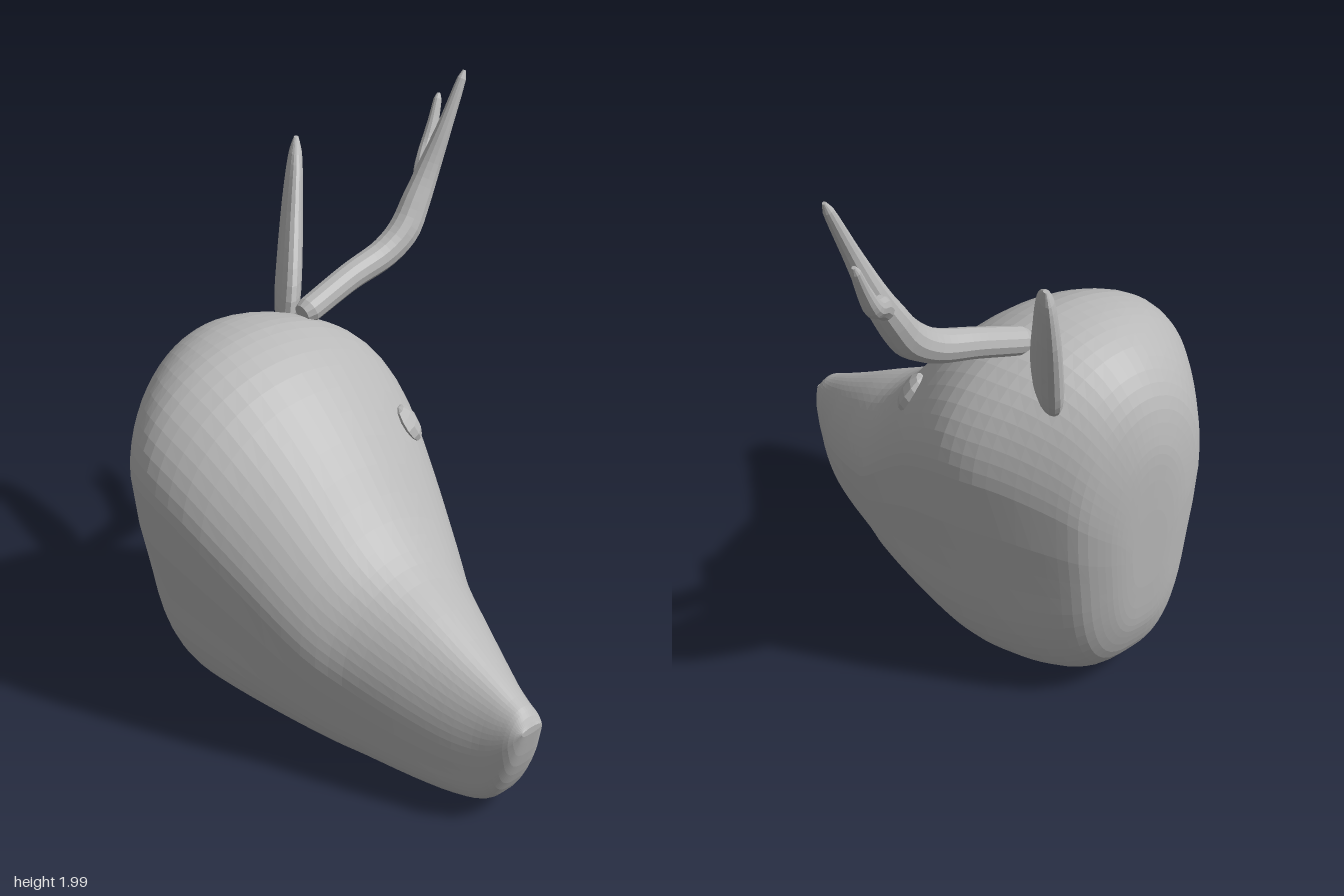
import * as THREE from 'three';

const grey = new THREE.MeshStandardMaterial({ color: 0xb8b8b8, flatShading: true });
grey.name = 'plain grey';

const V = (x, y, z) => new THREE.Vector3(x, y, z);

// Skin closed rings (counter-clockwise about the travel direction) and cap both ends
function loft(name, rings) {
  const n = rings[0].length, last = rings.length - 1;
  const pos = [], index = [];
  for (const ring of rings) for (const p of ring) pos.push(p.x, p.y, p.z);
  for (const ring of [rings[0], rings[last]]) {
    const c = ring.reduce((s, p) => s.add(p), V(0, 0, 0)).divideScalar(n);
    pos.push(c.x, c.y, c.z);
  }
  const start = rings.length * n, end = start + 1;
  for (let j = 0; j < n; j++) {
    const k = (j + 1) % n;
    for (let i = 0; i < last; i++) {
      const a = i * n + j, b = i * n + k;
      index.push(a, b, b + n, a, b + n, a + n);
    }
    index.push(start, k, j, end, last * n + j, last * n + k);
  }
  const geo = new THREE.BufferGeometry();
  geo.setAttribute('position', new THREE.Float32BufferAttribute(pos, 3));
  geo.setIndex(index);
  geo.computeVertexNormals();
  const mesh = new THREE.Mesh(geo, grey);
  mesh.name = name;
  return mesh;
}

// Smooth curve value between b and c, with neighbours a and d
function blend(a, b, c, d, t) {
  const cubic = 3 * (b - c) + d - a;
  const square = 2 * a - 5 * b + 4 * c - d;
  return b + 0.5 * t * (c - a + t * (square + t * cubic));
}

// Smoothly resample a table of cross-section rows
function resample(rows, steps) {
  const out = [], last = rows.length - 1;
  for (let i = 0; i < last; i++) {
    const a = rows[Math.max(i - 1, 0)], b = rows[i], c = rows[i + 1], d = rows[Math.min(i + 2, last)];
    for (let s = 0; s < steps; s++) {
      out.push(b.map((v, k) => blend(a[k], v, c[k], d[k], s / steps)));
    }
  }
  out.push(rows[last]);
  return out;
}

// Ring of n points from a rule of cosine and sine
const ring = (n, rule) => Array.from({ length: n }, (_, j) => {
  const a = (j / n) * Math.PI * 2;
  return rule(Math.cos(a), Math.sin(a));
});

// Head sections, back to nose: z, bottom, top, half width, height share of widest point
const HEAD_X = -0.235;
const headRows = [
  [-0.84, 0.45, 0.75, 0.08, 0.55],
  [-0.835, 0.32, 0.92, 0.13, 0.58],
  [-0.82, 0.24, 1.02, 0.19, 0.6],
  [-0.78, 0.14, 1.14, 0.275, 0.63],
  [-0.7, 0.06, 1.24, 0.35, 0.65],
  [-0.59, 0.02, 1.30, 0.435, 0.67],
  [-0.48, 0.01, 1.32, 0.505, 0.68],
  [-0.36, 0.005, 1.31, 0.535, 0.68],
  [-0.2, 0.005, 1.23, 0.51, 0.66],
  [0, 0.005, 1.05, 0.44, 0.62],
  [0.2, 0.01, 0.83, 0.36, 0.58],
  [0.33, 0.01, 0.725, 0.295, 0.55],
  [0.5, 0.015, 0.635, 0.23, 0.52],
  [0.65, 0.03, 0.555, 0.17, 0.5],
  [0.75, 0.06, 0.505, 0.125, 0.5],
  [0.81, 0.13, 0.475, 0.1, 0.5],
  [0.86, 0.25, 0.45, 0.075, 0.5],
  [0.89, 0.385, 0.41, 0.045, 0.5],
];

function makeHead() {
  const rings = resample(headRows, 3).map(([z, bottom, top, half, share]) => {
    const mid = bottom + (top - bottom) * share;
    return ring(56, (c, s) => {
      if (s >= 0) return V(HEAD_X + half * c, mid + (top - mid) * s, z);
      // Fuller, slightly tapered lower half
      const e = 2 / 2.9, drop = Math.pow(-s, e);
      const taper = 1 - 0.09 * THREE.MathUtils.smoothstep(drop, 0, 0.5);
      const side = Math.sign(c) * Math.pow(Math.abs(c), e);
      return V(HEAD_X + half * taper * side, mid - (mid - bottom) * drop, z);
    });
  });
  return loft('head', rings);
}

// Ear sections: height, front z, back z, half thickness
const earRows = [
  [1.15, -0.64, -0.66, 0.012],
  [1.2, -0.57, -0.73, 0.035],
  [1.26, -0.53, -0.77, 0.045],
  [1.35, -0.55, -0.805, 0.045],
  [1.45, -0.61, -0.84, 0.042],
  [1.55, -0.68, -0.87, 0.037],
  [1.65, -0.745, -0.885, 0.03],
  [1.71, -0.795, -0.885, 0.022],
  [1.75, -0.855, -0.872, 0.008],
];

function makeEar() {
  const rings = resample(earRows, 2).map(([y, front, back, thick]) => {
    const z = (front + back) / 2, half = (front - back) / 2;
    const x = 0.08 + (-0.57 - z) * 0.7 + (y - 1.65) * 0.17;
    return ring(16, (c, s) => V(x + 0.7 * half * c - 0.82 * thick * s, y, z - half * c - 0.57 * thick * s));
  });
  return loft('ear', rings);
}

// Tapered branch: points are [x, y, z, radius]
function makeBranch(name, points, steps) {
  const curve = new THREE.CatmullRomCurve3(points.map(p => V(p[0], p[1], p[2])));
  const frames = curve.computeFrenetFrames(steps);
  const rings = [];
  for (let i = 0; i <= steps; i++) {
    const u = i / steps, centre = curve.getPointAt(u);
    const f = curve.getUtoTmapping(u) * (points.length - 1);
    const k = Math.min(Math.floor(f), points.length - 2);
    const r = THREE.MathUtils.lerp(points[k][3], points[k + 1][3], f - k);
    rings.push(ring(12, (c, s) => centre.clone()
      .addScaledVector(frames.normals[i], r * c)
      .addScaledVector(frames.binormals[i], r * s)));
  }
  return loft(name, rings);
}

export function createModel() {
  const model = new THREE.Group();
  model.name = 'antlered head';
  model.add(makeHead(), makeEar());

  // Antler with a main beam and a rear tine
  const antler = new THREE.Group();
  antler.name = 'antler';
  antler.add(
    makeBranch('antlerBeam', [
      [-0.02, 1.29, -0.455, 0.035], [0.0, 1.295, -0.455, 0.046], [0.2, 1.365, -0.46, 0.049],
      [0.36, 1.415, -0.455, 0.054], [0.45, 1.475, -0.455, 0.058], [0.52, 1.57, -0.465, 0.052],
      [0.58, 1.67, -0.468, 0.042], [0.65, 1.82, -0.457, 0.027], [0.72, 1.97, -0.452, 0.016],
      [0.733, 1.997, -0.452, 0.006],
    ], 36),
    makeBranch('antlerTine', [
      [0.54, 1.6, -0.47, 0.03], [0.6, 1.66, -0.515, 0.034], [0.66, 1.7, -0.563, 0.029],
      [0.71, 1.78, -0.585, 0.021], [0.75, 1.86, -0.603, 0.014], [0.757, 1.875, -0.606, 0.006],
    ], 18),
  );
  model.add(antler);

  // Small faceted eye, flattened against the head
  const eye = new THREE.Mesh(new THREE.SphereGeometry(0.07, 8, 6), grey);
  eye.name = 'eye';
  eye.scale.set(1, 1, 0.45);
  eye.position.set(0.125, 0.97, -0.07);
  eye.lookAt(0.725, 1.47, 0.48);
  model.add(eye);

  return model;
}
